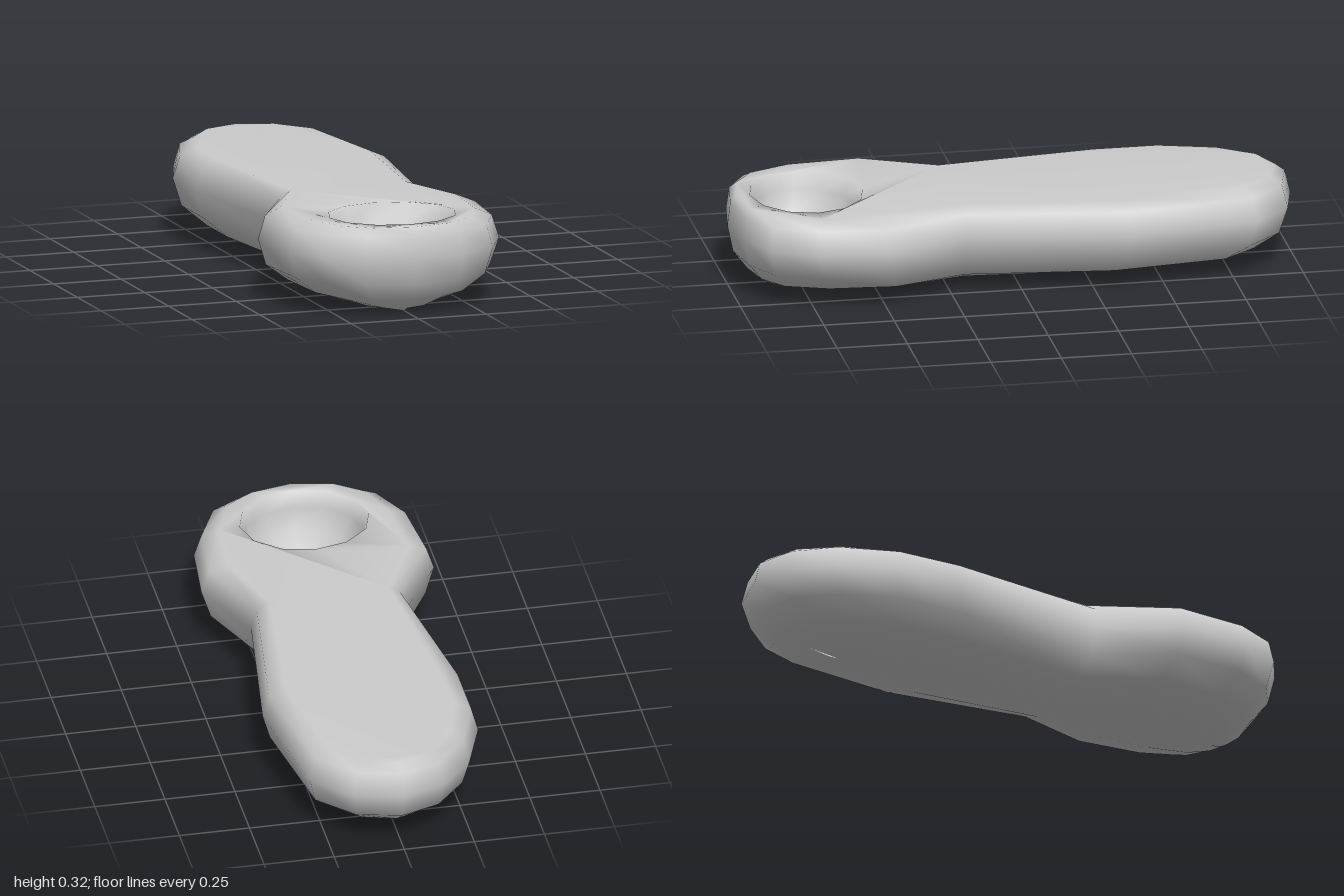
import * as THREE from 'three';

// plan outline as [x, z], from the back end round by the model's left
const OUTLINE = [
  [0, -1], [0.17, -0.96], [0.3, -0.83], [0.375, -0.37], [0.295, 0.21], [0.415, 0.49], [0.39, 0.74],
  [0.31, 0.9], [0.18, 0.97], [0, 1], [-0.19, 0.97], [-0.31, 0.9], [-0.39, 0.75], [-0.415, 0.49],
  [-0.255, 0.22], [-0.345, -0.37], [-0.345, -0.61], [-0.27, -0.82], [-0.15, -0.95],
];
// body levels: [y, x scale, front z scale, back z scale]
const LEVELS = [
  [0.322, 0.78, 0.97, 0.945], [0.296, 0.935, 0.99, 0.98], [0.215, 1, 1, 1], [0.12, 0.925, 0.98, 0.97],
  [0.054, 0.705, 0.93, 0.88], [0.015, 0.385, 0.88, 0.78], [0, 0, 0.85, 0.7],
];
// bowl levels: [y, scale, z centre]
const BOWL = [[0.322, 1, 0.72], [0.26, 0.93, 0.725], [0.18, 0.77, 0.74], [0.125, 0.45, 0.75], [0.11, 0, 0.75]];
const BOWL_SIDES = 12;

export function createModel() {
  const positions = [];
  const indices = [];

  // joins successive rings of n points, starting at vertex 'start'
  const skin = (start, rings, n, inward) => {
    for (let r = 0; r < rings - 1; r++) {
      for (let i = 0; i < n; i++) {
        const a = start + r * n + i;
        const b = start + r * n + (i + 1) % n;
        const c = a + n;
        const d = b + n;
        if (inward) indices.push(a, c, b, b, c, d);
        else indices.push(a, b, c, b, d, c);
      }
    }
  };

  // rounded sides and keel-like underside
  const n = OUTLINE.length;
  for (const [y, sx, front, back] of LEVELS) {
    for (const [x, z] of OUTLINE) positions.push(x * sx, y, z * (z > 0 ? front : back));
  }
  skin(0, LEVELS.length, n, false);

  // hollow bowl
  const bowlStart = n * LEVELS.length;
  for (const [y, s, zc] of BOWL) {
    for (let i = 0; i < BOWL_SIDES; i++) {
      const a = (i / BOWL_SIDES) * Math.PI * 2;
      positions.push(0.23 * s * Math.sin(a), y, zc - 0.2 * s * Math.cos(a));
    }
  }
  skin(bowlStart, BOWL.length, BOWL_SIDES, true);

  // flat top between the outer edge and the bowl rim
  const flat = (start, count) => Array.from({ length: count }, (_, i) =>
    new THREE.Vector2(positions[(start + i) * 3], positions[(start + i) * 3 + 2]));
  const contour = flat(0, n);
  const hole = flat(bowlStart, BOWL_SIDES);
  const points = [...contour, ...hole];
  const toVertex = (i) => (i < n ? i : bowlStart + i - n);
  for (const [a, b, c] of THREE.ShapeUtils.triangulateShape(contour, [hole])) {
    const up = THREE.ShapeUtils.area([points[a], points[b], points[c]]) < 0;
    indices.push(toVertex(a), toVertex(up ? b : c), toVertex(up ? c : b));
  }

  const geometry = new THREE.BufferGeometry();
  geometry.setAttribute('position', new THREE.Float32BufferAttribute(positions, 3));
  geometry.setIndex(indices);
  geometry.computeVertexNormals();
  // the keel line and the bowl floor shade smoothly across their seams
  const normal = geometry.attributes.normal;
  for (let i = bowlStart - n; i < bowlStart; i++) normal.setXYZ(i, 0, -1, 0);
  for (let i = normal.count - BOWL_SIDES; i < normal.count; i++) normal.setXYZ(i, 0, 1, 0);

  const body = new THREE.Mesh(geometry, new THREE.MeshStandardMaterial({ color: 0xcccccc }));
  body.name = 'spoonBody';
  const group = new THREE.Group();
  group.name = 'spoonRest';
  group.add(body);
  return group;
}
